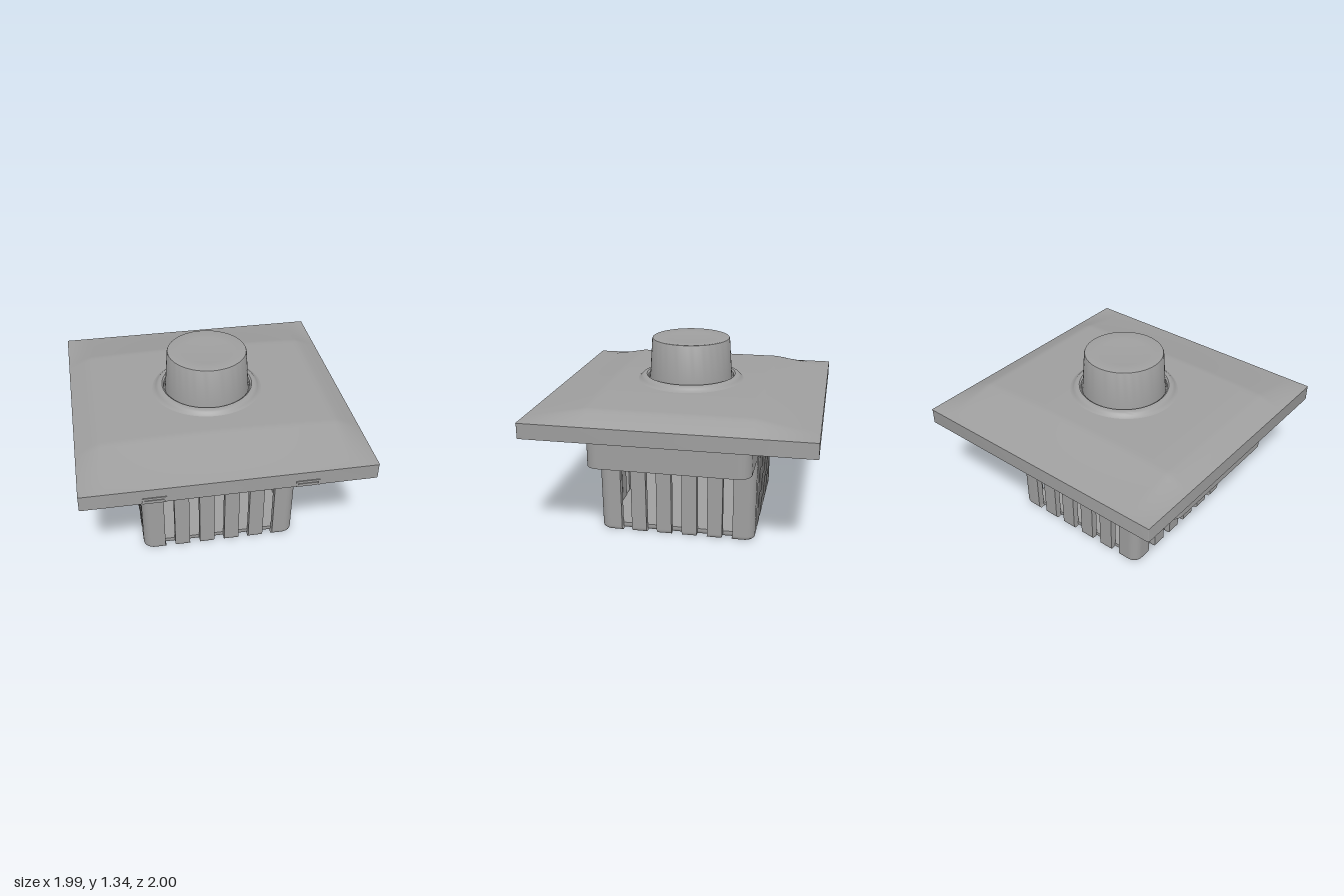
import * as THREE from 'three';
import { toCreasedNormals } from 'three/addons/utils/BufferGeometryUtils.js';

const material = new THREE.MeshStandardMaterial({ color: 0x9f9f9f });
const doubleSided = new THREE.MeshStandardMaterial({ color: 0x9f9f9f, side: THREE.DoubleSide });
const PLATE_Z = -0.003, HALF = 0.996;

function add(parent, name, geometry, mat = material) {
  const mesh = new THREE.Mesh(geometry, mat);
  mesh.name = name;
  parent.add(mesh);
  return mesh;
}

function addBox(parent, name, size, pos, rotY = 0) {
  const mesh = add(parent, name, new THREE.BoxGeometry(...size));
  mesh.position.set(...pos);
  mesh.rotation.y = rotY;
}

// Rounded rectangle in plan, given half sizes and corner radius
function roundedRect(a, b, r, Type = THREE.Shape) {
  const s = new Type();
  s.absarc(a - r, b - r, r, 0, Math.PI / 2);
  s.absarc(-a + r, b - r, r, Math.PI / 2, Math.PI);
  s.absarc(-a + r, -b + r, r, Math.PI, Math.PI * 1.5);
  s.absarc(a - r, -b + r, r, Math.PI * 1.5, Math.PI * 2);
  s.closePath();
  return s;
}

// Plan shape extruded upwards from y0 to y1
function extrudeUp(shape, y0, y1, steps = 1) {
  const g = new THREE.ExtrudeGeometry(shape, { depth: y1 - y0, bevelEnabled: false, curveSegments: 8, steps });
  return g.rotateX(-Math.PI / 2).translate(0, y0, 0);
}

// Height of the cover: sloped borders blending into a slightly crowned middle
function coverHeight(x, z) {
  const ax = Math.abs(x), az = Math.abs(z);
  const fx = Math.min(1, (HALF - ax) / 0.17);
  const gz = Math.min(1, (HALF - az) / 0.43);
  const rise = (Math.sin(fx * Math.PI / 2) * 0.4 + fx * 0.6) * gz ** 1.1;
  return 0.94 + (0.092 - 0.02 * (ax / 0.82) ** 2) * rise;
}

function coverSurface(half, drop) {
  const g = new THREE.PlaneGeometry(half * 2, half * 2, 80, 80).rotateX(-Math.PI / 2);
  const p = g.attributes.position;
  for (let i = 0; i < p.count; i++) p.setY(i, coverHeight(p.getX(i), p.getZ(i)) - drop);
  g.computeVertexNormals();
  return g;
}

// Slight draft of the cage and a rounded bottom edge
function draft(g) {
  const p = g.attributes.position;
  for (let i = 0; i < p.count; i++) {
    const y = p.getY(i);
    const k = 0.99 + 0.01 * y / 0.62 - 0.018 * Math.max(0, 1 - y / 0.02) ** 2;
    p.setX(i, p.getX(i) * k);
    p.setZ(i, p.getZ(i) * k);
  }
  return toCreasedNormals(g, 0.6);
}

function makeCover() {
  const cover = new THREE.Group();
  cover.name = 'coverPlate';
  cover.position.z = PLATE_Z;
  add(cover, 'coverTop', coverSurface(HALF, 0));
  add(cover, 'coverUnderside', coverSurface(HALF - 0.03, 0.025), doubleSided);

  // Outer rim and flat lower flange
  const rim = roundedRect(HALF, HALF, 0.012);
  rim.holes.push(roundedRect(0.95, 0.95, 0.02, THREE.Path));
  add(cover, 'rim', toCreasedNormals(extrudeUp(rim, 0.83, 0.94), 0.6));
  const flange = roundedRect(0.96, 0.96, 0.02);
  flange.holes.push(roundedRect(0.91, 0.86, 0.04, THREE.Path));
  add(cover, 'lowerFlange', toCreasedNormals(extrudeUp(flange, 0.835, 0.855), 0.6));

  // Stiffening ribs under the sloped borders
  for (const s of [1, -1]) {
    for (let i = 0; i < 9; i++) {
      const x = -0.84 + i * 0.21;
      const rib = new THREE.Shape([[0.56, 0.86], [0.88, 0.86], [0.88, 0.93], [0.56, 0.98]]
        .map(([z, y]) => new THREE.Vector2(z, y)));
      const g = new THREE.ExtrudeGeometry(rib, { depth: 0.015, bevelEnabled: false });
      g.rotateY(-Math.PI / 2);
      if (s < 0) g.rotateY(Math.PI);
      g.translate(x, 0, 0);
      add(cover, 'rib', g);
      if (i < 8) {
        const dir = (i % 2 ? 1 : -1) * s;
        addBox(cover, 'diagonalRib', [0.015, 0.07, 0.34], [x + 0.105, 0.895, s * 0.72], dir * 0.62);
      }
    }
  }

  // Release catches on the front edge
  for (const x of [-0.51, 0.51]) {
    addBox(cover, 'catchTop', [0.16, 0.012, 0.02], [x, 0.869, 0.992]);
    addBox(cover, 'catchBottom', [0.13, 0.022, 0.02], [x, 0.842, 0.991]);
    for (const s of [-1, 1])
      addBox(cover, 'catchSide', [0.012, 0.035, 0.02], [x + s * 0.074, 0.848, 0.992]);
  }
  return cover;
}

function lathe(points, crease = 0.5) {
  const g = new THREE.LatheGeometry(points.map(([r, y]) => new THREE.Vector2(r, y)), 64);
  return toCreasedNormals(g, crease);
}

function makeKnob() {
  const knob = new THREE.Group();
  knob.name = 'dial';
  // Collar flowing softly out of the cover
  add(knob, 'collar', lathe([[0.41, 1.024], [0.395, 1.03], [0.384, 1.036], [0.375, 1.045],
    [0.367, 1.054], [0.358, 1.06], [0.345, 1.063], [0.33, 1.064], [0.318, 1.055], [0.315, 1.03]], 0.7), doubleSided);
  add(knob, 'dialCap', lathe([[0.309, 1.02], [0.305, 1.06], [0.287, 1.33], [0.283, 1.338],
    [0.275, 1.341], [0.18, 1.335], [0.09, 1.331], [0, 1.33]], 0.7), doubleSided);
  return knob;
}

function makeCage() {
  const cage = new THREE.Group();
  cage.name = 'ventedCage';
  const out = 0.57, inn = 0.52, gap = 0.412, r = 0.07;
  add(cage, 'cageFloor', draft(extrudeUp(roundedRect(0.525, 0.525, 0.03), 0, 0.04, 4)));
  for (let k = 0; k < 4; k++) {
    const side = new THREE.Group();
    side.name = 'cageSide';
    side.rotation.y = k * Math.PI / 2;
    cage.add(side);
    // Rounded corner post
    const c = new THREE.Shape();
    c.moveTo(gap, inn);
    c.lineTo(inn - 0.03, inn);
    c.quadraticCurveTo(inn, inn, inn, inn - 0.03);
    c.lineTo(inn, gap);
    c.lineTo(out, gap);
    c.absarc(out - r, out - r, r, 0, Math.PI / 2);
    c.lineTo(gap, out);
    c.closePath();
    add(side, 'cornerPost', draft(extrudeUp(c, 0, 0.62, 60)));
    // Bars between the slots
    for (const x of [-0.281, -0.094, 0.094, 0.281]) {
      const g = new THREE.BoxGeometry(0.11, 0.62, out - inn, 1, 60, 1).translate(x, 0.31, (out + inn) / 2);
      add(side, 'cageBar', draft(g));
    }
  }
  return cage;
}

export function createModel() {
  const model = new THREE.Group();
  model.name = 'wallDial';
  model.add(makeCover(), makeKnob(), makeCage());

  // Housing block behind the plate
  add(model, 'housingBlock', toCreasedNormals(extrudeUp(roundedRect(0.892, 0.567, 0.09), 0.61, 0.93), 0.6));

  // Screw bosses under the housing
  for (const x of [-0.7, 0.7]) {
    const boss = add(model, 'screwBoss', lathe([[0, 0.606], [0.035, 0.606], [0.05, 0.595],
      [0.055, 0.585], [0.065, 0.585], [0.088, 0.605], [0.088, 0.615]]), doubleSided);
    boss.position.x = x;
  }
  return model;
}
